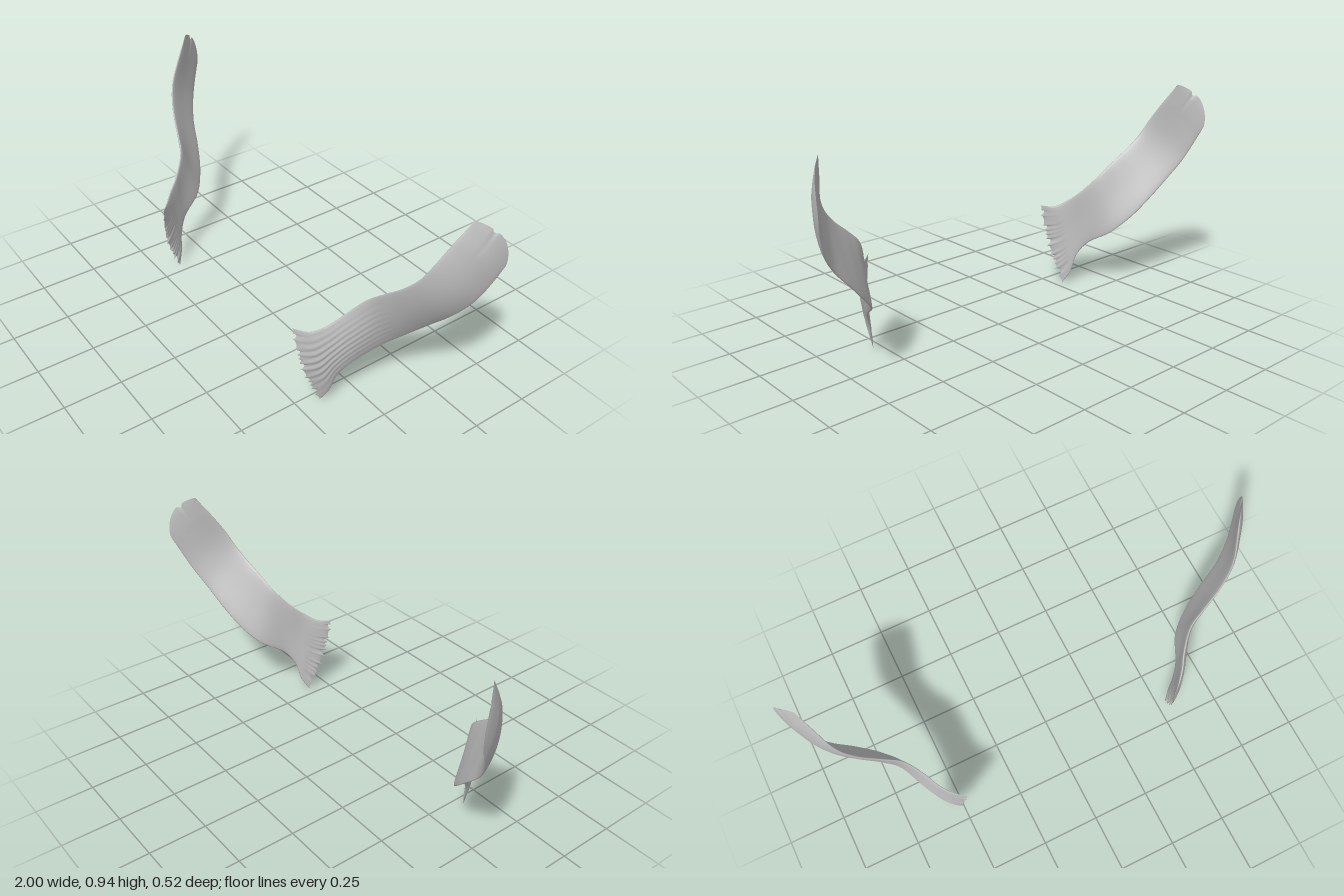
import * as THREE from 'three';

// Two long edges of the strap, from the frayed lower end to the rounded tip
const UPPER = [
  [0.482, 0.375, 0.25], [0.53, 0.372, 0.208], [0.567, 0.40, 0.165], [0.60, 0.45, 0.11],
  [0.655, 0.53, 0.05], [0.72, 0.59, 0.025], [0.79, 0.65, 0], [0.84, 0.71, -0.025],
  [0.868, 0.77, -0.05], [0.895, 0.855, -0.10], [0.925, 0.945, -0.16],
];
const LOWER = [
  [0.54, 0.002, 0.155], [0.565, 0.06, 0.128], [0.585, 0.14, 0.112], [0.615, 0.205, 0.072],
  [0.66, 0.275, -0.03], [0.73, 0.35, -0.09], [0.81, 0.435, -0.13], [0.89, 0.52, -0.16],
  [0.945, 0.60, -0.195], [0.98, 0.69, -0.232], [0.999, 0.76, -0.262],
];
const curve = (pts) => new THREE.CatmullRomCurve3(pts.map((p) => new THREE.Vector3(...p)));

// Uneven teeth along the torn end
function fray(v) {
  const t = v * 13 + 0.35 * Math.sin(v * 17);
  const f = t - Math.floor(t);
  const size = 0.009 + 0.005 * Math.sin(Math.floor(t) * 2.4);
  return size * (Math.pow(Math.sin(Math.PI * f), 0.6) * 2 - 1);
}

// Thin closed sheet lofted between the edges; side is 1 (left) or -1 (right)
function strapGeometry(side) {
  const NU = 72, NV = 84, RING = NV * 2;
  const upper = curve(UPPER), lower = curve(LOWER);
  const pos = [], index = [];
  for (let i = 0; i <= NU; i++) {
    const u = i / NU;
    const a = upper.getPoint(u), b = lower.getPoint(u);
    const across = a.clone().sub(b);
    const along = upper.getTangent(u).add(lower.getTangent(u)).normalize();
    const out = along.clone().cross(across).normalize();
    const endFade = Math.pow(Math.min(1, u / 0.12, (1 - u) / 0.08), 0.6);
    const low = Math.max(0, 1 - u / 0.16), tip = Math.max(0, (u - 0.8) / 0.2);
    for (let k = 0; k < RING; k++) {
      const outer = k < NV;
      const v = outer ? k / NV : 2 - k / NV;
      const dome = Math.sin(Math.PI * v);
      const p = a.clone().lerp(b, v);
      // torn lower end
      const edge = Math.min(1, v * 12, (1 - v) * 12);
      p.addScaledVector(along, low * edge * fray(v));
      p.x -= low * dome * 0.006;
      p.z += low * dome * 0.016;
      // rounded tip with a small notch
      const notch = 0.014 * Math.exp(-Math.pow((v - 0.4) / 0.05, 2));
      const round = 0.062 * Math.pow(Math.max(dome, 0), 0.7) * (0.55 + 0.6 * v);
      p.addScaledVector(along, tip * (round - notch));
      // curved cross-section, thickness and fibre grooves
      const bulge = 0.010 * dome;
      const half = 0.013 * Math.sqrt(Math.max(dome, 0)) * endFade;
      const groove = outer ? 0.0028 * dome * Math.max(0, 1 - u / 0.5) * endFade
        * Math.sin(v * 62 + u * 5) : 0;
      p.addScaledVector(out, bulge + (outer ? half : -half) + groove);
      pos.push(p.x * side, Math.max(0, p.y), p.z);
    }
  }
  for (let i = 0; i < NU; i++) {
    for (let k = 0; k < RING; k++) {
      const n = (k + 1) % RING;
      const p = i * RING + k, q = i * RING + n, r = p + RING, s = q + RING;
      if (side > 0) index.push(p, q, r, q, s, r);
      else index.push(p, r, q, q, r, s);
    }
  }
  const g = new THREE.BufferGeometry();
  g.setAttribute('position', new THREE.Float32BufferAttribute(pos, 3));
  g.setIndex(index);
  g.computeVertexNormals();
  return g;
}

export function createModel() {
  const group = new THREE.Group();
  group.name = 'strapPair';
  const grey = new THREE.MeshStandardMaterial({ color: 0xbcbcbc });
  grey.name = 'lightGrey';
  for (const [name, side] of [['leftStrap', 1], ['rightStrap', -1]]) {
    const strap = new THREE.Mesh(strapGeometry(side), grey);
    strap.name = name;
    group.add(strap);
  }
  return group;
}
